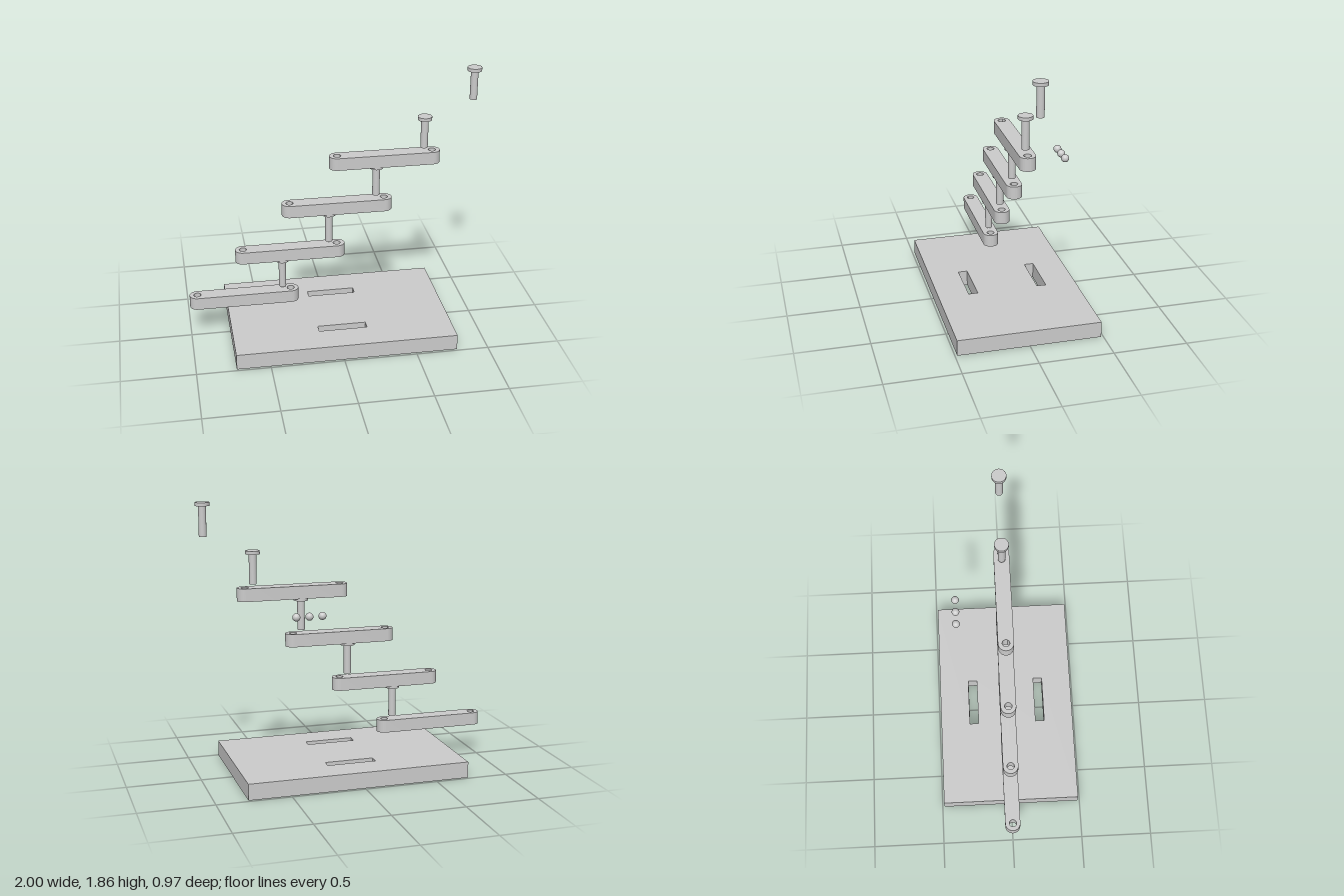
import * as THREE from 'three';
import { toCreasedNormals } from 'three/addons/utils/BufferGeometryUtils.js';

const material = new THREE.MeshStandardMaterial({ color: 0xcccccc });

function addMesh(parent, name, geometry, x, y, z) {
  const mesh = new THREE.Mesh(geometry, material);
  mesh.name = name;
  mesh.position.set(x, y, z);
  parent.add(mesh);
  return mesh;
}

// Extrudes a plan outline upwards from y = 0
function slab(shape, height) {
  const geometry = new THREE.ExtrudeGeometry(shape, { depth: height, bevelEnabled: false, curveSegments: 24 });
  geometry.rotateX(-Math.PI / 2);
  return toCreasedNormals(geometry, 0.6);
}

function rectangle(path, x0, x1, y0, y1) {
  path.moveTo(x0, y0);
  path.lineTo(x1, y0);
  path.lineTo(x1, y1);
  path.lineTo(x0, y1);
  path.closePath();
  return path;
}

export function createModel() {
  const model = new THREE.Group();
  model.name = 'explodedLinkage';

  // Base plate with two slots
  const plate = rectangle(new THREE.Shape(), -0.73, 0.785, -0.485, 0.485);
  for (const z of [-0.243, 0.243]) {
    plate.holes.push(rectangle(new THREE.Path(), -0.14, 0.195, z - 0.032, z + 0.032));
  }
  addMesh(model, 'basePlate', slab(plate, 0.11), 0, 0, 0);

  // Round-ended link with a hole at each end
  const half = 0.325, radius = 0.053;
  const outline = new THREE.Shape();
  outline.absarc(half, 0, radius, -Math.PI / 2, Math.PI / 2, false);
  outline.absarc(-half, 0, radius, Math.PI / 2, Math.PI * 1.5, false);
  outline.closePath();
  for (const x of [-half, half]) {
    outline.holes.push(new THREE.Path().absarc(x, 0, 0.025, 0, Math.PI * 2, true));
  }
  const linkGeometry = slab(outline, 0.087);
  const step = 0.3255;
  for (let i = 0; i < 4; i++) {
    addMesh(model, `link${i + 1}`, linkGeometry, -0.622 + i * step, 0.23 + i * step, 0);
  }

  // Headed pins climbing with the links
  const shaftGeometry = new THREE.CylinderGeometry(0.025, 0.025, 0.2, 32);
  const headGeometry = new THREE.CylinderGeometry(0.048, 0.048, 0.023, 40);
  for (let i = 0; i < 5; i++) {
    const pin = new THREE.Group();
    pin.name = `pin${i + 1}`;
    pin.position.set(-0.353 + i * step, 0.339 + i * step, 0);
    addMesh(pin, 'shaft', shaftGeometry, 0, 0.1, 0);
    addMesh(pin, 'head', headGeometry, 0, 0.2105, 0);
    model.add(pin);
  }

  // Row of three loose balls
  const ballGeometry = new THREE.SphereGeometry(0.026, 32, 20);
  for (let i = 0; i < 3; i++) {
    addMesh(model, `ball${i + 1}`, ballGeometry, 0.243 + i * 0.087, 1.141, -0.325);
  }

  return model;
}
